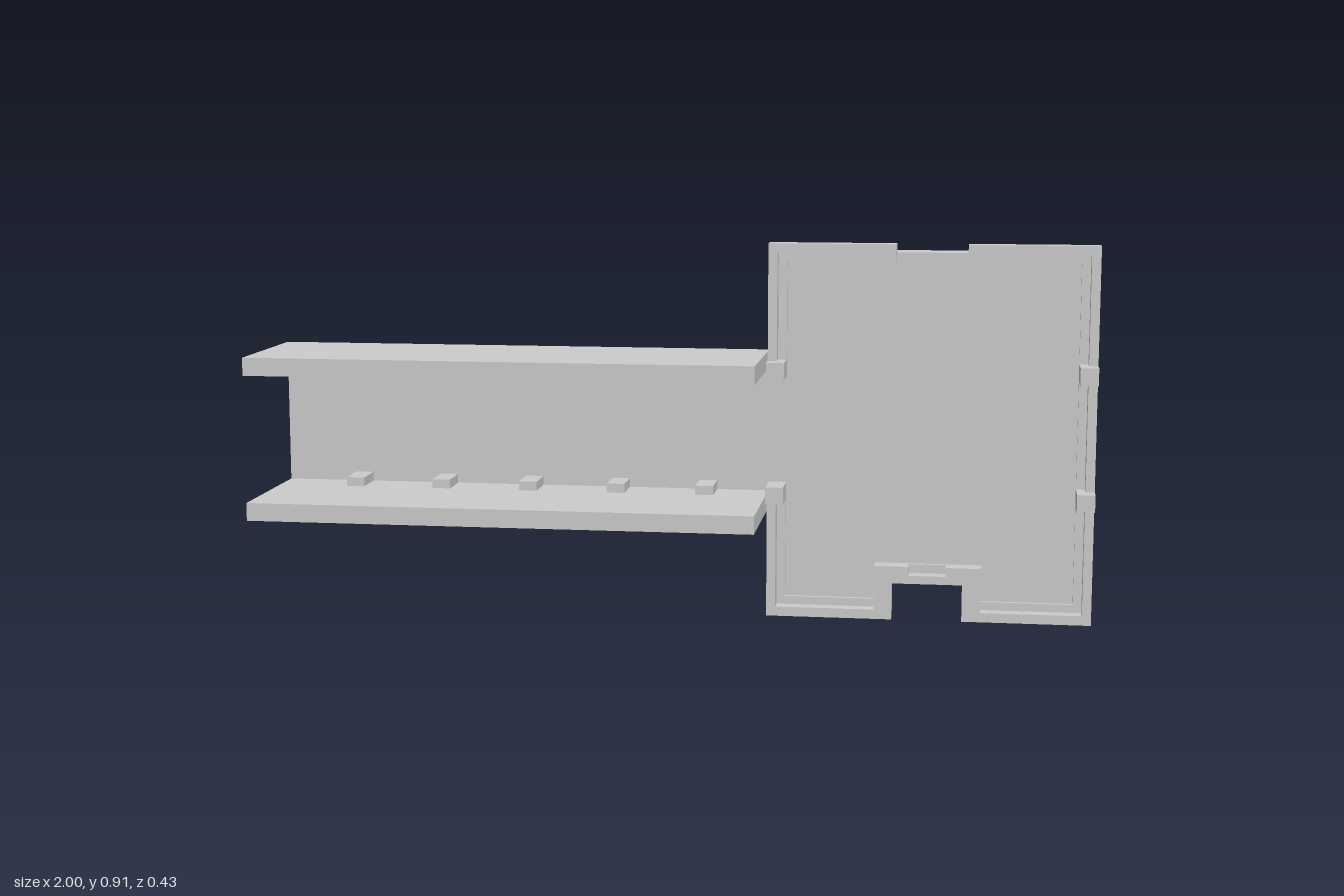
import * as THREE from 'three';

const material = new THREE.MeshStandardMaterial({ color: 0xcccccc, flatShading: true });

export function createModel() {
  const model = new THREE.Group();
  model.name = 'platformWithBeam';

  const add = (name, geometry) => {
    const mesh = new THREE.Mesh(geometry, material);
    mesh.name = name;
    model.add(mesh);
  };
  // Box given by its limits on each axis
  const box = (name, x0, x1, y0, y1, z0, z1) => {
    const g = new THREE.BoxGeometry(x1 - x0, y1 - y0, z1 - z0);
    g.translate((x0 + x1) / 2, (y0 + y1) / 2, (z0 + z1) / 2);
    add(name, g);
  };
  // Outline in x, y extruded from z0 to z1
  const slab = (name, points, z0, z1) => {
    const shape = new THREE.Shape(points.map(([x, y]) => new THREE.Vector2(x, y)));
    const g = new THREE.ExtrudeGeometry(shape, { depth: z1 - z0, bevelEnabled: false });
    g.translate(0, 0, z0);
    add(name, g);
  };

  const back = -0.215, step = -0.172, floor = -0.13, ledge = -0.12, rim = -0.087, tab = -0.045;

  // Thin floor plate with the doorway notch, and its thicker rear half joined to the beam web
  slab('floorPlate', [
    [0.214, 0.023], [0.5, 0.023], [0.5, 0.11], [0.713, 0.11], [0.713, 0.023],
    [1, 0.023], [1, 0.892], [0.214, 0.892],
  ], step, floor);
  slab('backPlate', [
    [-1, 0.285], [0.214, 0.285], [0.214, 0.023], [0.5, 0.023], [0.5, 0.11],
    [0.733, 0.11], [0.733, 0.892], [0.214, 0.892], [0.214, 0.63], [-1, 0.63],
  ], back, step);
  box('beamWeb', -1, 0.214, 0.285, 0.63, step, floor);

  // Rim walls: wide lower layer, then an upper layer with the inner rebate
  const outer = [
    [0.214, 0.327], [0.214, 0], [0.52, 0], [0.52, 0.09], [0.69, 0.09], [0.69, 0],
    [1, 0], [1, 0.914], [0.69, 0.914], [0.69, 0.871],
  ];
  slab('rimBase', [
    ...outer, [0.957, 0.871], [0.957, 0.043], [0.735, 0.043], [0.735, 0.132],
    [0.477, 0.132], [0.477, 0.043], [0.257, 0.043], [0.257, 0.327],
  ], floor, ledge);
  slab('rimWall', [
    ...outer, [0.732, 0.871], [0.732, 0.891], [0.978, 0.891],
    [0.978, 0.63], [0.957, 0.63], [0.957, 0.588], [0.978, 0.588],
    [0.978, 0.327], [0.957, 0.327], [0.957, 0.285], [0.978, 0.285],
    [0.978, 0.023], [0.735, 0.023], [0.735, 0.132], [0.65, 0.132], [0.65, 0.11],
    [0.56, 0.11], [0.56, 0.132], [0.477, 0.132], [0.477, 0.023],
    [0.236, 0.023], [0.236, 0.285], [0.257, 0.285], [0.257, 0.327],
  ], ledge, rim);
  slab('cornerRimBase', [
    [0.214, 0.588], [0.257, 0.588], [0.257, 0.871], [0.52, 0.871], [0.52, 0.914], [0.214, 0.914],
  ], floor, ledge);
  slab('cornerRimWall', [
    [0.214, 0.588], [0.257, 0.588], [0.257, 0.63], [0.236, 0.63], [0.236, 0.891],
    [0.478, 0.891], [0.478, 0.871], [0.52, 0.871], [0.52, 0.914], [0.214, 0.914],
  ], ledge, rim);

  // Tabs standing out from the side walls
  for (const x of [0.214, 0.957]) {
    for (const y of [0.285, 0.588]) box('wallTab', x, x + 0.043, y, y + 0.042, rim, tab);
  }

  // Beam flanges and the small blocks along their inner faces
  box('lowerFlange', -1, 0.214, 0.262, 0.305, floor, 0.215);
  box('upperFlange', -1, 0.214, 0.61, 0.653, floor, 0.215);
  for (let i = 0; i < 5; i++) {
    const x = -0.807 + i * 0.218;
    box('lowerBlock', x - 0.022, x + 0.022, 0.305, 0.327, floor, tab);
    box('upperBlock', x - 0.022, x + 0.022, 0.588, 0.61, floor, tab);
  }
  return model;
}
